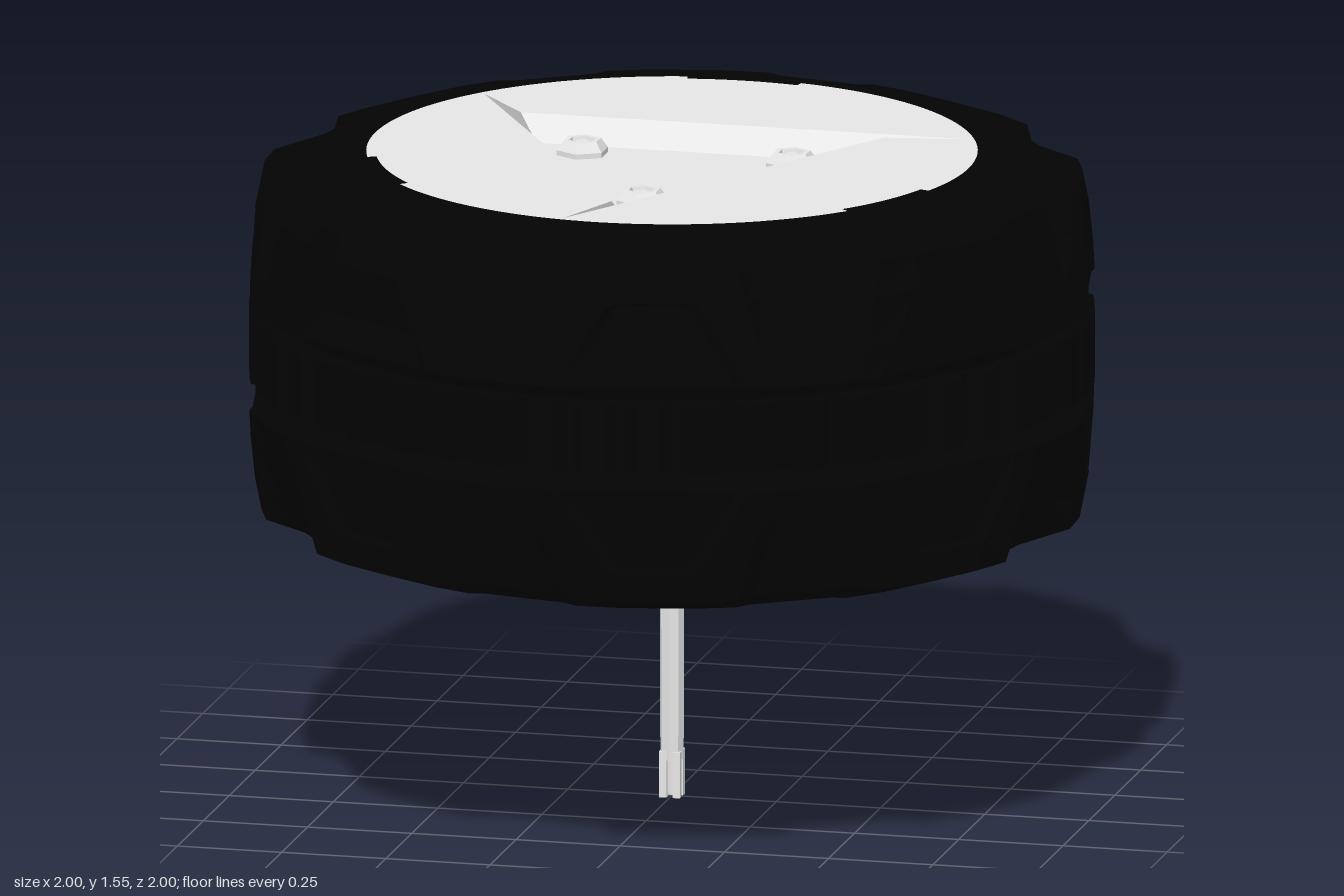
import * as THREE from 'three';

const TAU = Math.PI * 2;
const MID = 1.095; // height of the tyre's middle plane
const rubber = new THREE.MeshStandardMaterial({ color: 0x030303, flatShading: true, side: THREE.DoubleSide });
rubber.name = 'black rubber';
const plastic = new THREE.MeshStandardMaterial({ color: 0xebebeb, flatShading: true, side: THREE.DoubleSide });
plastic.name = 'light grey plastic';

function add(parent, name, geometry, material, x = 0, y = 0, z = 0) {
  const mesh = new THREE.Mesh(geometry, material);
  mesh.name = name;
  mesh.position.set(x, y, z);
  parent.add(mesh);
  return mesh;
}

// Extrudes a plan shape upward from y = 0 (shape y becomes -z)
function slab(shape, depth, curveSegments) {
  const g = new THREE.ExtrudeGeometry(shape, { depth, bevelEnabled: false, curveSegments });
  return g.rotateX(-Math.PI / 2);
}

function annulus(inner, outer, depth, segments = 48) {
  const s = new THREE.Shape().absarc(0, 0, outer, 0, TAU, false);
  s.holes.push(new THREE.Path().absarc(0, 0, inner, 0, TAU, true));
  return slab(s, depth, segments);
}

// One tyre half: shoulder blocks with gaps between, and a trapezoid recess in each block
function treadBand(sign, phase) {
  // height above middle, radius, gap half angle, gap depth, recess half angle, recess depth
  const rings = [
    [0.00, 0.90, 8, 0, 10, 0],
    [0.085, 0.93, 8, 0, 10, 0],
    [0.125, 1.00, 5, 0, 13, 0.012],
    [0.20, 0.99, 6, 0.015, 10.5, 0.025],
    [0.315, 0.973, 8, 0.035, 6.5, 0.025],
    [0.325, 0.971, 8, 0.035, 6, 0],
    [0.395, 0.957, 9, 0.05, 6, 0],
    [0.44, 0.83, 8, 0.02, 7, 0],
    [0.447, 0.72, 8, 0, 7, 0],
    [0.43, 0.67, 8, 0, 7, 0],
    [0.36, 0.66, 8, 0, 7, 0],
  ];
  const pos = [], index = [], n = 64, step = Math.PI / 180;
  for (const [h, r, gap, gapDepth, rec, recDepth] of rings) {
    for (let k = 0; k < 8; k++) {
      const angles = [-gap - 1.5, -gap + 1, gap - 1, gap + 1.5,
        22.5 - rec, 22.5 - rec + 1.5, 22.5 + rec - 1.5, 22.5 + rec];
      angles.forEach((a, i) => {
        const cut = i === 1 || i === 2 ? gapDepth : i === 5 || i === 6 ? recDepth : 0;
        const t = (a + 45 * k + phase) * step;
        pos.push(Math.sin(t) * (r - cut), MID + sign * h, Math.cos(t) * (r - cut));
      });
    }
  }
  for (let j = 0; j < rings.length - 1; j++) {
    for (let i = 0; i < n; i++) {
      const a = j * n + i, b = j * n + (i + 1) % n, c = b + n, d = a + n;
      if (sign > 0) index.push(a, b, c, a, c, d);
      else index.push(a, c, b, a, d, c);
    }
  }
  const g = new THREE.BufferGeometry();
  g.setAttribute('position', new THREE.Float32BufferAttribute(pos, 3));
  g.setIndex(index);
  const flat = g.toNonIndexed();
  flat.computeVertexNormals();
  return flat;
}

// Toothed ring between the two tread bands
function toothedRing() {
  const s = new THREE.Shape(), teeth = 48;
  for (let i = 0; i < teeth; i++) {
    [[0, 0.95], [0.2, 0.985], [0.65, 0.985], [0.85, 0.95]].forEach(([f, r], j) => {
      const a = (i + f) / teeth * TAU;
      s[i + j ? 'lineTo' : 'moveTo'](Math.cos(a) * r, Math.sin(a) * r);
    });
  }
  s.closePath();
  s.holes.push(new THREE.Path().absarc(0, 0, 0.85, 0, TAU, true));
  return slab(s, 0.165, 32);
}

// Turns an (x, z) point by k thirds of a circle
function third([x, z], k) {
  const a = k * TAU / 3, c = Math.cos(a), s = Math.sin(a);
  return [x * c - z * s, x * s + z * c];
}

// Pinwheel outline of the sunken triangle: side start and long tip, three times
const pocketRim = [0, 1, 2].flatMap(k => [third([-0.43, -0.27], k), third([0.648, -0.27], k)]);
const pocketFloor = [0, 1, 2].map(k => third([-0.38, -0.22], k));

// Cover plate with three edge notches and the pinwheel opening
function coverPlate() {
  const s = new THREE.Shape();
  for (let i = 0; i < 3; i++) {
    const notch = (90 + i * 120) * Math.PI / 180, half = 11 * Math.PI / 180;
    s.absarc(0, 0, 0.69, notch - half, notch + half, false);
    s.absarc(0, 0, 0.712, notch + half, notch + TAU / 3 - half, false);
  }
  s.closePath();
  s.holes.push(new THREE.Path(pocketRim.map(([x, z]) => new THREE.Vector2(x, -z))));
  return new THREE.ShapeGeometry(s, 16).rotateX(-Math.PI / 2);
}

// Sloping pocket walls and floor, every face looking up
function pocket(top, bottom) {
  const rim = pocketRim.map(([x, z]) => [x, top, z]);
  const floor = pocketFloor.map(([x, z]) => [x, bottom, z]);
  const pos = [];
  const tri = (a, b, c) => {
    const up = (b[2] - a[2]) * (c[0] - a[0]) - (b[0] - a[0]) * (c[2] - a[2]);
    pos.push(...a, ...(up > 0 ? b : c), ...(up > 0 ? c : b));
  };
  tri(...floor);
  for (let k = 0; k < 3; k++) {
    const start = rim[2 * k], tip = rim[2 * k + 1], next = rim[(2 * k + 2) % 6];
    const f = floor[k], g = floor[(k + 1) % 3];
    tri(start, tip, g);
    tri(start, g, f);
    tri(tip, next, g);
  }
  const geo = new THREE.BufferGeometry();
  geo.setAttribute('position', new THREE.Float32BufferAttribute(pos, 3));
  geo.computeVertexNormals();
  return geo;
}

export function createModel() {
  const model = new THREE.Group();
  model.name = 'wheel';

  // Tyre
  add(model, 'upperTread', treadBand(1, -11.25), rubber);
  add(model, 'lowerTread', treadBand(-1, -11.25), rubber);
  add(model, 'toothedRing', toothedRing(), rubber, 0, 1.0125, 0);

  // Outer cover with sunken triangle and bolts
  add(model, 'coverPlate', coverPlate(), plastic, 0, 1.548, 0);
  add(model, 'coverPocket', pocket(1.548, 1.49), plastic);
  const boltProfile = [[0.062, 0], [0.062, 0.012], [0.045, 0.035], [0.032, 0.035], [0.026, 0.015], [0, 0.015]]
    .map(([x, y]) => new THREE.Vector2(x, y));
  for (let k = 0; k < 3; k++) {
    const [x, z] = third([0, 0.29], k);
    add(model, 'bolt', new THREE.LatheGeometry(boltProfile, 6), plastic, x, 1.49, z);
    add(model, 'boltSocket', new THREE.CylinderGeometry(0.02, 0.026, 0.02, 4), plastic, x, 1.51, z);
  }

  // Ribbed inner side of the rim
  add(model, 'backPlate', new THREE.CylinderGeometry(0.70, 0.70, 0.02, 48), plastic, 0, 0.69, 0);
  add(model, 'rimRing', annulus(0.67, 0.705, 0.03), plastic, 0, 0.657, 0);
  add(model, 'outerRib', annulus(0.575, 0.625, 0.025), plastic, 0, 0.66, 0);
  add(model, 'innerRib', annulus(0.26, 0.33, 0.025), plastic, 0, 0.66, 0);
  for (let k = 0; k < 6; k++) {
    const a = Math.PI / 6 + k * Math.PI / 3;
    const spoke = add(model, 'spoke', new THREE.BoxGeometry(0.27, 0.025, 0.05), plastic,
      Math.cos(a) * 0.45, 0.6725, -Math.sin(a) * 0.45);
    spoke.rotation.y = a;
  }

  // Hub with three screw lobes
  add(model, 'hubFlange', new THREE.CylinderGeometry(0.2, 0.2, 0.06, 12), plastic, 0, 0.655, 0);
  add(model, 'hubBody', annulus(0.10, 0.17, 0.12, 6), plastic, 0, 0.548, 0);
  add(model, 'hubCore', new THREE.CylinderGeometry(0.10, 0.10, 0.08, 12), plastic, 0, 0.62, 0);
  for (let k = 0; k < 3; k++) {
    const [x, z] = third([0, 0.145], k);
    const lobe = add(model, 'screwLobe', annulus(0.015, 0.07, 0.1, 4), plastic, x, 0.546, z);
    lobe.rotation.y = Math.PI / 4 - k * TAU / 3;
  }

  // Axle with a split end
  add(model, 'axle', new THREE.CylinderGeometry(0.03, 0.028, 0.52, 8), plastic, 0, 0.35, 0);
  add(model, 'axleCore', new THREE.CylinderGeometry(0.016, 0.016, 0.1, 8), plastic, 0, 0.055, 0);
  for (const sx of [-1, 1]) for (const sz of [-1, 1]) {
    add(model, 'axleProng', new THREE.BoxGeometry(0.018, 0.11, 0.018), plastic, sx * 0.016, 0.055, sz * 0.016);
  }
  return model;
}
